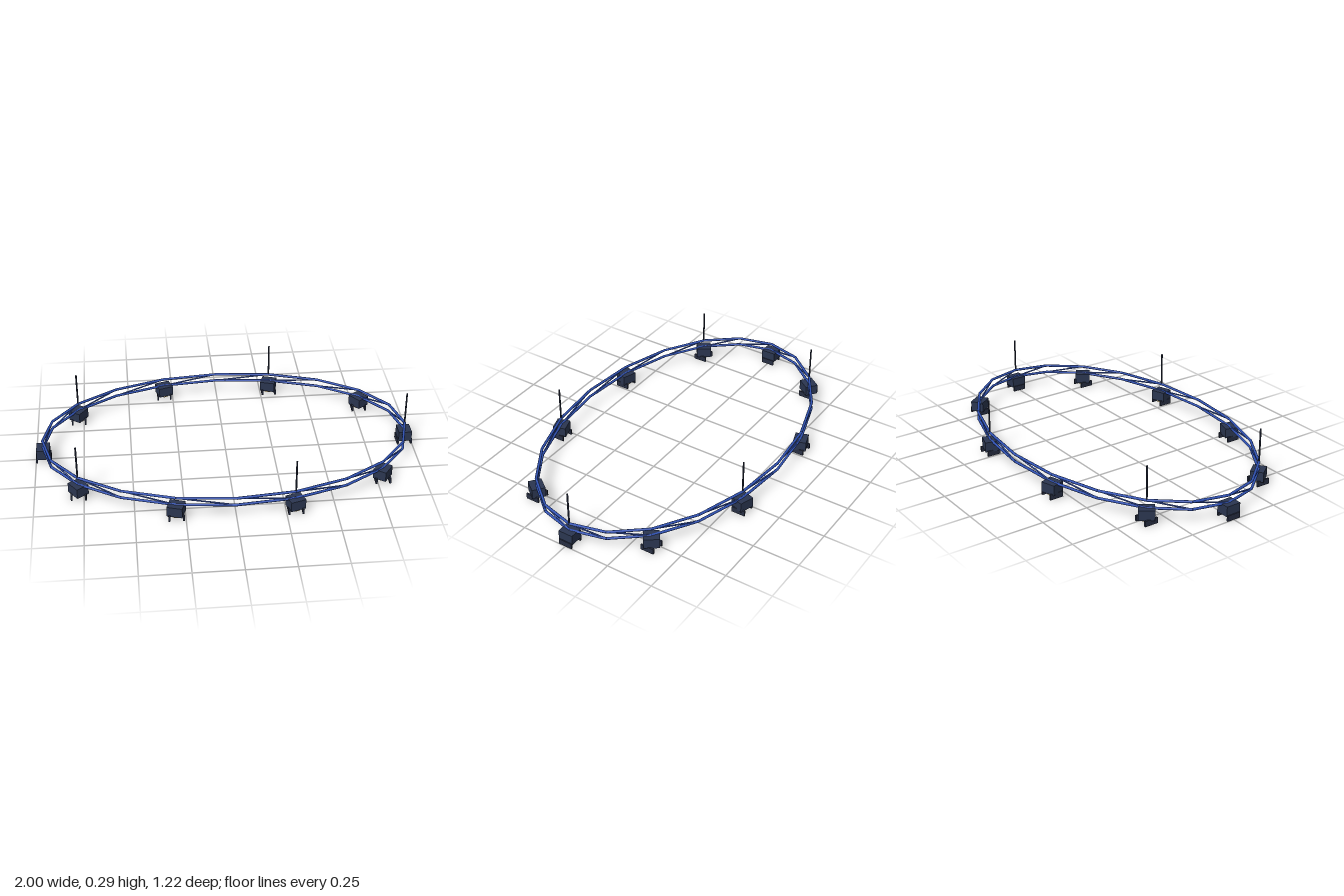
import * as THREE from 'three';

const mat = (name, color) => {
  const m = new THREE.MeshStandardMaterial({ color });
  m.name = name;
  return m;
};

const SEGMENTS = 20, RX = 0.96, RZ = 0.593;
const TOP_Y = 0.114, BOTTOM_Y = 0.074;

export function createModel() {
  const model = new THREE.Group();
  model.name = 'ovalLightingTruss';
  const blue = mat('trussBlue', 0x3052b4);
  const slate = mat('lampSlate', 0x2b3650);
  const dark = mat('metalDark', 0x272e42);
  const warm = mat('lensWarm', 0xf5dfa8);

  // Point on the oval at a corner index
  const corner = (i, y) => {
    const a = (i / SEGMENTS) * Math.PI * 2;
    return new THREE.Vector3(Math.cos(a) * RX, y, Math.sin(a) * RZ);
  };

  const add = (parent, name, geometry, material, x = 0, y = 0, z = 0) => {
    const mesh = new THREE.Mesh(geometry, material);
    mesh.name = name;
    mesh.position.set(x, y, z);
    parent.add(mesh);
    return mesh;
  };

  // Straight round bar between two points
  const bar = (name, a, b, radius, material) => {
    const dir = b.clone().sub(a);
    const mesh = add(model, name, new THREE.CylinderGeometry(radius, radius, dir.length(), 8), material);
    mesh.position.copy(a).add(b).multiplyScalar(0.5);
    mesh.quaternion.setFromUnitVectors(new THREE.Vector3(0, 1, 0), dir.normalize());
  };

  // Chords and one slanted brace per bay
  for (let i = 0; i < SEGMENTS; i++) {
    bar('topChord', corner(i, TOP_Y), corner(i + 1, TOP_Y), 0.007, blue);
    bar('bottomChord', corner(i, BOTTOM_Y), corner(i + 1, BOTTOM_Y), 0.007, blue);
    bar('brace', corner(i, BOTTOM_Y), corner(i + 1, TOP_Y), 0.004, blue);
  }

  // Lamps on every second corner
  const boxGeo = new THREE.BoxGeometry(0.07, 0.054, 0.08);
  const flapGeo = new THREE.BoxGeometry(0.009, 0.03, 0.074);
  const lensGeo = new THREE.CylinderGeometry(0.027, 0.027, 0.012, 16);
  for (let i = 0; i < SEGMENTS; i += 2) {
    const lamp = new THREE.Group();
    lamp.name = 'lamp';
    lamp.position.copy(corner(i, 0));
    add(lamp, 'lampHousing', boxGeo, slate, 0, 0.05, 0).rotation.y = -(i / SEGMENTS) * Math.PI * 2;
    add(lamp, 'lens', lensGeo, warm, 0, 0.018, 0);
    for (const s of [-1, 1]) add(lamp, 'flap', flapGeo, dark, s * 0.0355, 0.015, 0);
    model.add(lamp);
  }

  // Hanging rods on every fourth corner
  for (let i = 0; i < SEGMENTS; i += 4) {
    bar('hangingRod', corner(i, TOP_Y), corner(i, 0.295), 0.0045, dark);
  }
  return model;
}
